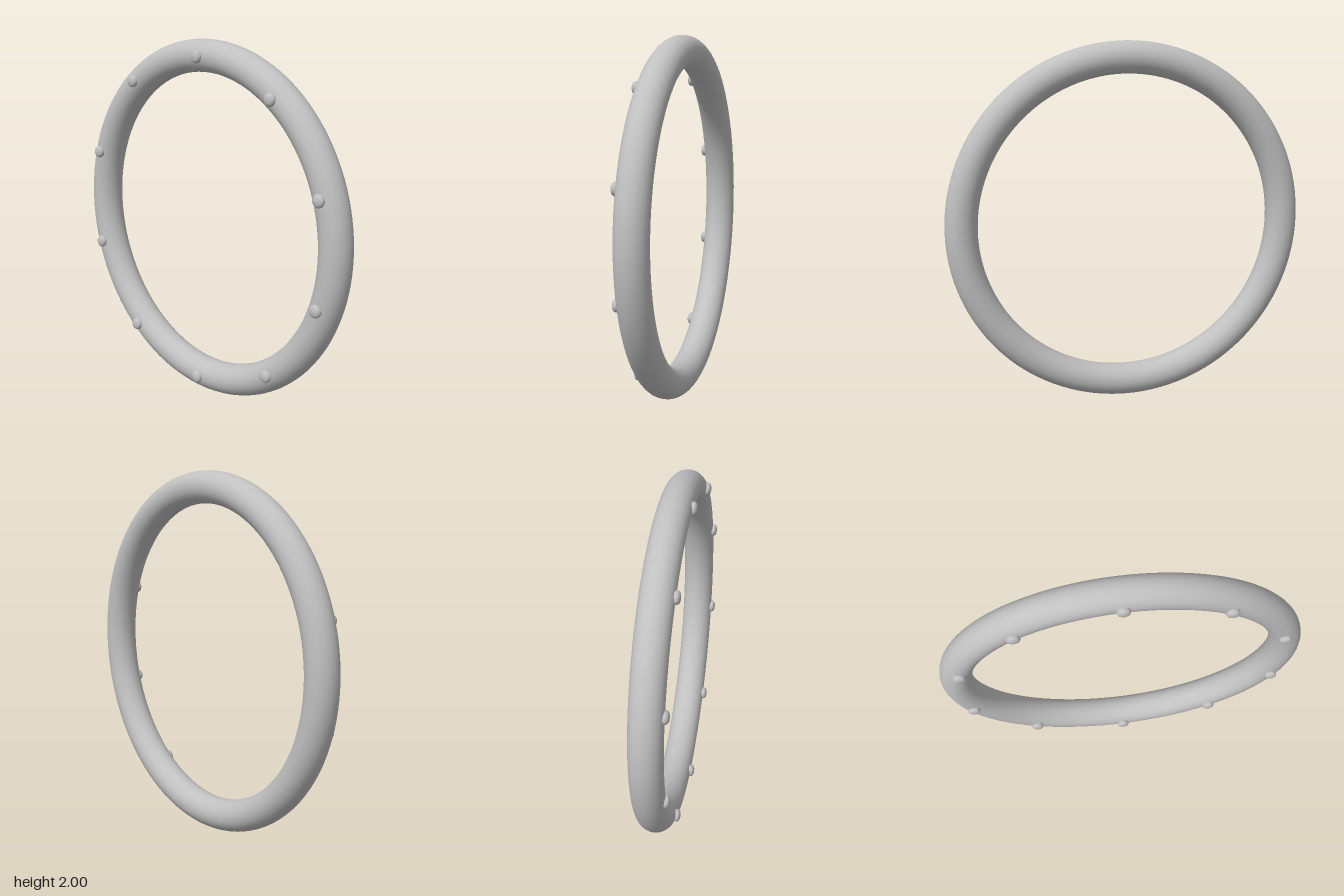
import * as THREE from 'three';

export function createModel() {
  const model = new THREE.Group();
  model.name = 'studdedRing';
  const grey = new THREE.MeshStandardMaterial({ color: 0xc0c0c0 });
  grey.name = 'grey';

  const ringRadius = 0.911, tubeRadius = 0.088, centreY = 1, ringZ = -0.012;

  // Round ring standing upright
  const ring = new THREE.Mesh(new THREE.TorusGeometry(ringRadius, tubeRadius, 32, 128), grey);
  ring.name = 'ring';
  ring.position.set(0, centreY, ringZ);
  model.add(ring);

  // Low domed stud, lathed then turned to face the front
  const profile = [
    [0.03, 0.05], [0.033, 0.07], [0.035, 0.077], [0.034, 0.085],
    [0.029, 0.093], [0.018, 0.098], [0, 0.1],
  ].map(([r, h]) => new THREE.Vector2(r, h));
  const studGeometry = new THREE.LatheGeometry(profile, 24).rotateX(Math.PI / 2);

  // Ten studs evenly spaced around the front
  const studs = new THREE.Group();
  studs.name = 'studs';
  for (let i = 0; i < 10; i++) {
    const a = Math.PI / 2 + (i * Math.PI) / 5;
    const stud = new THREE.Mesh(studGeometry, grey);
    stud.name = 'stud';
    stud.position.set(ringRadius * Math.cos(a), centreY + ringRadius * Math.sin(a), 0);
    studs.add(stud);
  }
  model.add(studs);
  return model;
}
